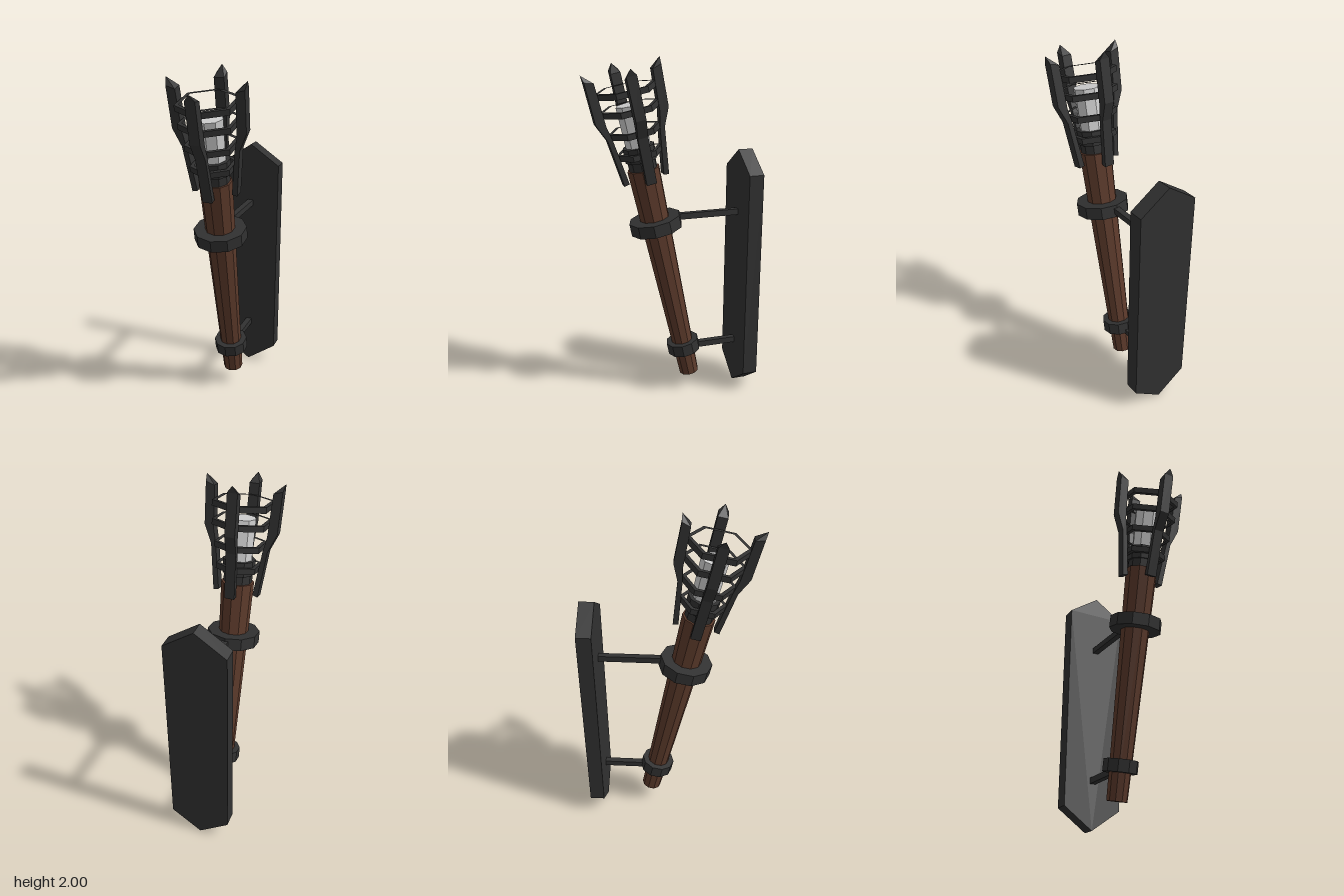
import * as THREE from 'three';

const material = (name, color) => {
  const m = new THREE.MeshStandardMaterial({ color, flatShading: true });
  m.name = name;
  return m;
};

export function createModel() {
  const iron = material('dark iron', 0x313131);
  const wood = material('brown wood', 0x5c3a2b);
  const glow = material('pale glow', 0xcfcfcf);
  const model = new THREE.Group();
  model.name = 'wallTorch';

  const add = (parent, name, geometry, mat, x = 0, y = 0, z = 0) => {
    const mesh = new THREE.Mesh(geometry, mat);
    mesh.name = name;
    mesh.position.set(x, y, z);
    parent.add(mesh);
    return mesh;
  };
  const extrude = (points, depth, hole) => {
    const shape = new THREE.Shape(points);
    if (hole) shape.holes.push(new THREE.Path(hole));
    const g = new THREE.ExtrudeGeometry(shape, { depth, bevelEnabled: false });
    return g.translate(0, 0, -depth / 2);
  };
  const vectors = (list) => list.map(([x, y]) => new THREE.Vector2(x, y));

  // Wall plate with pointed ends
  const plate = vectors([[0, 0], [0.175, 0.125], [0.175, 1.355], [0, 1.475], [-0.175, 1.355], [-0.175, 0.125]]);
  add(model, 'wallPlate', extrude(plate, 0.086), iron, 0, 0, -0.452);

  // Rods from the plate to the straps
  for (const [name, y, front] of [['upperRod', 1.108, 0], ['lowerRod', 0.283, -0.14]]) {
    add(model, name, new THREE.BoxGeometry(0.035, 0.035, front + 0.42), iron, 0, y, (front - 0.42) / 2);
  }

  // Everything on the torch leans forward along its axis
  const torch = new THREE.Group();
  torch.name = 'torch';
  torch.position.set(0, 0.11, -0.12);
  torch.rotation.x = 0.211;
  model.add(torch);

  // Drum standing between two heights on the torch axis
  const drum = (name, mat, rBottom, rTop, y0, y1, sides = 10) =>
    add(torch, name, new THREE.CylinderGeometry(rTop, rBottom, y1 - y0, sides), mat, 0, (y0 + y1) / 2, 0);
  drum('shaft', wood, 0.058, 0.092, 0, 1.32);
  drum('lowerStrap', iron, 0.098, 0.098, 0.152, 0.222);
  drum('upperStrap', iron, 0.15, 0.15, 0.954, 1.024);
  drum('neck', iron, 0.08, 0.08, 1.31, 1.38);
  drum('cup', iron, 0.09, 0.09, 1.37, 1.45);
  drum('lightCore', glow, 0.07, 0.075, 1.42, 1.68, 8);

  // Cage prongs: bent blades whose tips close to a point
  const blade = extrude(vectors([
    [0.1, 1.262], [0.13, 1.255], [0.162, 1.52], [0.206, 1.62],
    [0.213, 1.85], [0.22, 1.888], [0.163, 1.835], [0.152, 1.6], [0.135, 1.52],
  ]), 0.057);
  const p = blade.attributes.position;
  for (let i = 0; i < p.count; i++) if (p.getY(i) > 1.87) p.setZ(i, 0);
  blade.computeVertexNormals();
  for (let k = 0; k < 4; k++) {
    add(torch, 'cageProng', blade, iron).rotation.y = k * Math.PI / 2;
  }

  // Six-sided cage hoops, corners to front and back
  const hexagon = (r) => Array.from({ length: 6 }, (_, i) =>
    new THREE.Vector2(r * Math.sin(i * Math.PI / 3), r * Math.cos(i * Math.PI / 3)));
  for (const [h, r] of [[1.411, 0.13], [1.534, 0.147], [1.656, 0.168], [1.757, 0.174]]) {
    const hoop = extrude(hexagon(r), 0.032, hexagon(r - 0.024)).rotateX(-Math.PI / 2);
    add(torch, 'cageHoop', hoop, iron, 0, h, 0);
  }
  return model;
}
